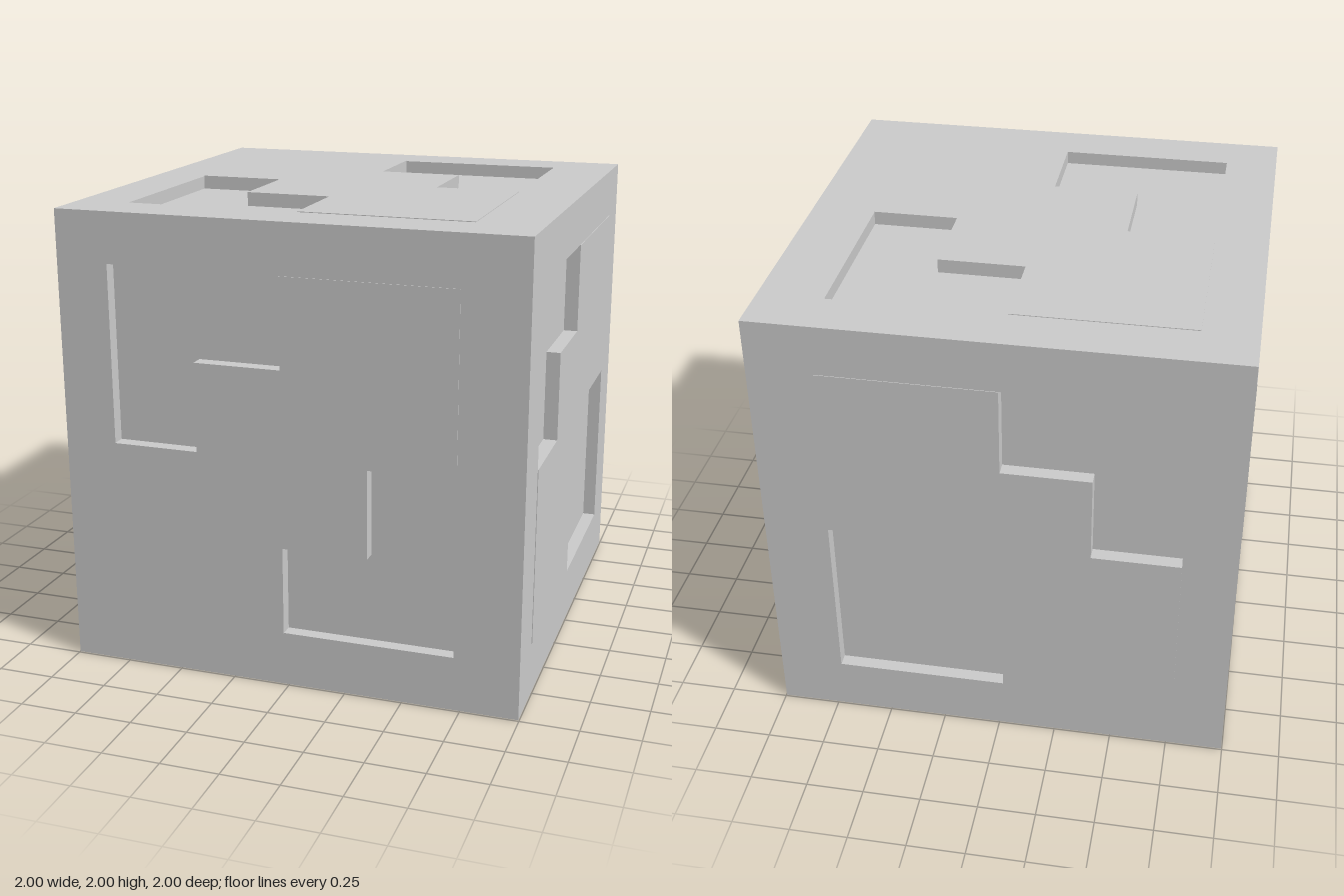
import * as THREE from 'three';

const H = 0.997;     // half size of the cube body
const TOP = 1;       // the inlays stand very slightly proud of it
const CORE = 0.94;   // level of the recess floors

// Grid lines of the square opening along each axis (cube centred on the origin)
const GRID = {
  x: [-0.77, -0.395, -0.02, 0.35, 0.72],
  y: [-0.76, -0.375, 0.01, 0.395, 0.78],
  z: [-0.775, -0.385, 0, 0.385, 0.775],
};

const points = (list) => list.map(([u, v]) => new THREE.Vector2(u, v));
const rect = (u0, u1, v0, v1) => points([[u0, v0], [u1, v0], [u1, v1], [u0, v1]]);
const slab = (shape, depth) => new THREE.ExtrudeGeometry(shape, { depth, bevelEnabled: false });

// Square frame around the opening, mitred so that six of them close into a cube
function frameGeometry(a, b, sign) {
  const shape = new THREE.Shape(rect(-H, H, -H, H));
  shape.holes.push(new THREE.Path(rect(a[0], a[4], b[0], b[4])));
  const depth = H - CORE;
  const geo = slab(shape, depth).translate(0, 0, sign > 0 ? CORE : -H);
  const p = geo.attributes.position;
  for (let i = 0; i < p.count; i++) {
    if (Math.abs(p.getZ(i)) > CORE + depth / 2) continue;
    const pull = (t) => (Math.abs(t) > H - 0.001 ? Math.sign(t) * CORE : t);
    p.setXY(i, pull(p.getX(i)), pull(p.getY(i)));
  }
  geo.computeVertexNormals();
  return geo;
}

// Stepped inlay: two opposite quarters joined by small squares at the centre
function inlayGeometry(a, b, sign) {
  const shape = new THREE.Shape(points([
    [a[0], b[0]], [a[2], b[0]], [a[2], b[1]], [a[3], b[1]], [a[3], b[2]], [a[4], b[2]],
    [a[4], b[4]], [a[2], b[4]], [a[2], b[3]], [a[1], b[3]], [a[1], b[2]], [a[0], b[2]],
  ]));
  return slab(shape, TOP - CORE).translate(0, 0, sign > 0 ? CORE : -TOP);
}

export function createModel() {
  const group = new THREE.Group();
  const material = new THREE.MeshStandardMaterial({ color: 0xcccccc, flatShading: true });
  const add = (name, geo) => {
    const mesh = new THREE.Mesh(geo, material);
    mesh.name = name;
    mesh.position.y = 1;
    group.add(mesh);
  };

  // Inner block, whose faces are the recess floors
  add('core', new THREE.BoxGeometry(2 * CORE, 2 * CORE, 2 * CORE));

  // In-plane axes u, v and facing axis w of each pair of opposite faces
  const X = new THREE.Vector3(1, 0, 0), Y = new THREE.Vector3(0, 1, 0), Z = new THREE.Vector3(0, 0, 1);
  const sides = [
    { names: ['front', 'back'], a: GRID.x, b: GRID.y, basis: [X, Y, Z] },
    { names: ['left', 'right'], a: [...GRID.y].reverse(), b: GRID.z, basis: [Y, Z, X] },
    { names: ['top', 'bottom'], a: GRID.z, b: GRID.x, basis: [Z, X, Y] },
  ];
  for (const { names, a, b, basis } of sides) {
    const turn = new THREE.Matrix4().makeBasis(...basis);
    names.forEach((name, i) => {
      const sign = i ? -1 : 1;
      add(name + 'Frame', frameGeometry(a, b, sign).applyMatrix4(turn));
      add(name + 'Inlay', inlayGeometry(a, b, sign).applyMatrix4(turn));
    });
  }
  return group;
}
